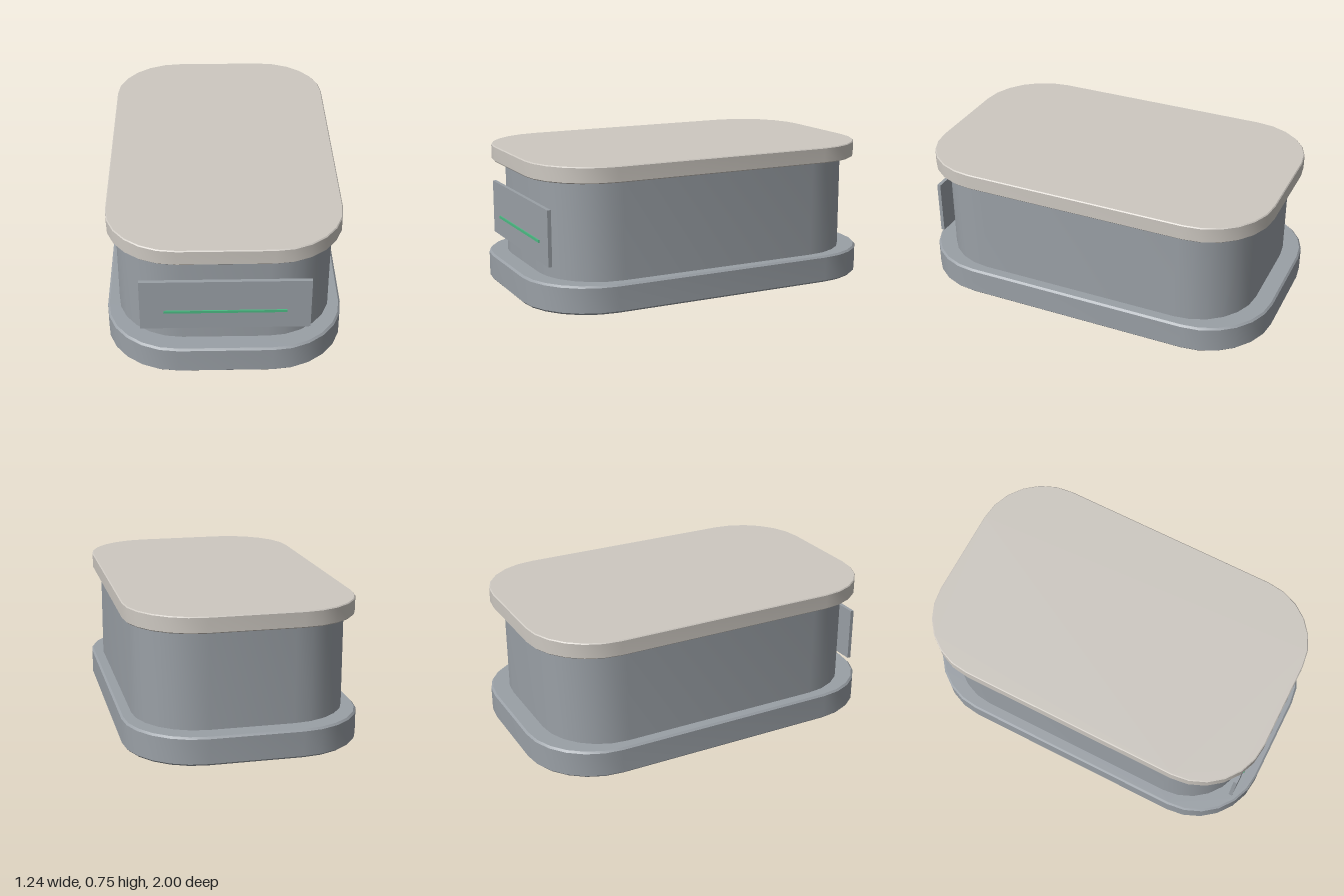
import * as THREE from 'three';
import { toCreasedNormals } from 'three/addons/utils/BufferGeometryUtils.js';

const material = (name, color) => {
  const m = new THREE.MeshStandardMaterial({ color });
  m.name = name;
  return m;
};

// Rounded rectangle outline with half sizes hx, hy and corner radius r
function roundedOutline(hx, hy, r) {
  const s = new THREE.Shape();
  const corners = [[hx - r, hy - r], [r - hx, hy - r], [r - hx, r - hy], [hx - r, r - hy]];
  corners.forEach(([x, y], i) => s.absarc(x, y, r, i * Math.PI / 2, (i + 1) * Math.PI / 2, false));
  s.closePath();
  return s;
}

// Upright slab between y0 and y1, with an optional small edge bevel
function slab(name, hx, hz, r, y0, y1, bevel, mat) {
  const g = new THREE.ExtrudeGeometry(roundedOutline(hx - bevel, hz - bevel, r - bevel), {
    depth: y1 - y0 - 2 * bevel,
    curveSegments: 3,
    bevelEnabled: bevel > 0,
    bevelThickness: bevel,
    bevelSize: bevel,
    bevelSegments: 1,
  });
  g.rotateX(-Math.PI / 2);
  g.translate(0, y0 + bevel, 0);
  const mesh = new THREE.Mesh(toCreasedNormals(g, 0.65), mat);
  mesh.name = name;
  return mesh;
}

function box(name, w, h, d, y, z, mat) {
  const mesh = new THREE.Mesh(new THREE.BoxGeometry(w, h, d), mat);
  mesh.position.set(0, y, z);
  mesh.name = name;
  return mesh;
}

export function createModel() {
  const grey = material('casing grey', 0x9aa0a6);
  const cream = material('lid cream', 0xcdc8c1);
  const green = material('light green', 0x4cba83);

  const model = new THREE.Group();
  model.name = 'lowCabinet';
  model.add(
    slab('base', 0.62, 1.0, 0.38, 0, 0.15, 0.01, grey),
    slab('body', 0.56, 0.9, 0.34, 0.14, 0.68, 0, grey),
    slab('lid', 0.603, 0.97, 0.363, 0.665, 0.75, 0.005, cream),
    // Front panel with its light strip
    box('frontPanel', 0.866, 0.294, 0.02, 0.377, 0.914, grey),
    box('lightStrip', 0.624, 0.014, 0.009, 0.338, 0.926, green),
  );
  return model;
}
